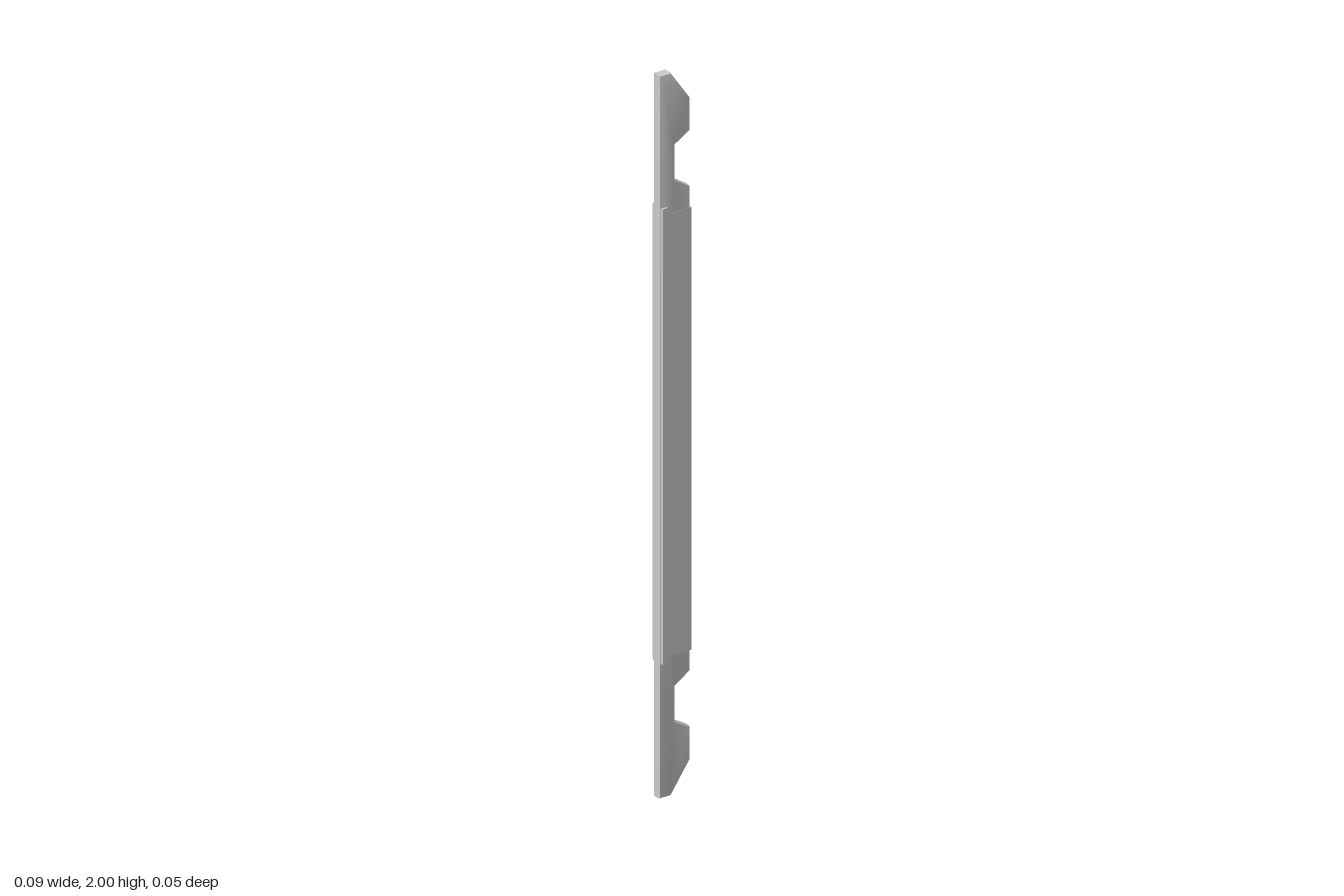
import * as THREE from 'three';
import { toCreasedNormals } from 'three/addons/utils/BufferGeometryUtils.js';

const steel = new THREE.MeshStandardMaterial({ color: 0xcccccc });
steel.name = 'light grey';

function shapeOf(points) {
  return new THREE.Shape(points.map(([x, y]) => new THREE.Vector2(x, y)));
}

export function createModel() {
  const group = new THREE.Group();
  group.name = 'notchedBar';
  const add = (name, geometry) => {
    const mesh = new THREE.Mesh(geometry, steel);
    mesh.name = name;
    group.add(mesh);
    return mesh;
  };

  // Notched end profile, measured from the middle; mirrored for the other end
  const end = [[0.045, 0.67], [0, 0.7], [0, 0.798], [0.045, 0.825], [0.045, 0.915], [-0.013, 1], [-0.047, 1]];
  const outline = [
    ...end.map(([x, y]) => [x, 1 + y]),
    ...end.map(([x, y]) => [x, 1 - y]).reverse(),
  ];

  // Flat bar with softened edges
  const bevel = 0.006, back = -0.013, front = 0.017;
  const bar = new THREE.ExtrudeGeometry(shapeOf(outline), {
    depth: front - back - 2 * bevel, bevelEnabled: true, bevelThickness: bevel,
    bevelSize: bevel, bevelOffset: -bevel, bevelSegments: 2,
  });
  bar.translate(0, 0, back + bevel);
  add('bar', toCreasedNormals(bar, 0.6));

  // Square-edged sleeve around the middle
  const sleeve = add('middleSleeve', new THREE.BoxGeometry(0.07, 1.225, 0.031));
  sleeve.position.set(0.012, 1, 0.002);

  // Thick chamfered spine along the right edge
  const section = [[-0.047, -0.011], [-0.041, -0.0235], [-0.027, -0.0235], [-0.021, -0.011],
    [-0.021, 0.011], [-0.027, 0.0225], [-0.041, 0.0225], [-0.047, 0.011]];
  const spine = new THREE.ExtrudeGeometry(shapeOf(section.map(([x, z]) => [x, -z])), {
    depth: 1.26, bevelEnabled: false,
  });
  spine.rotateX(-Math.PI / 2);
  spine.translate(0, 0.373, 0);
  add('spine', spine);

  return group;
}
